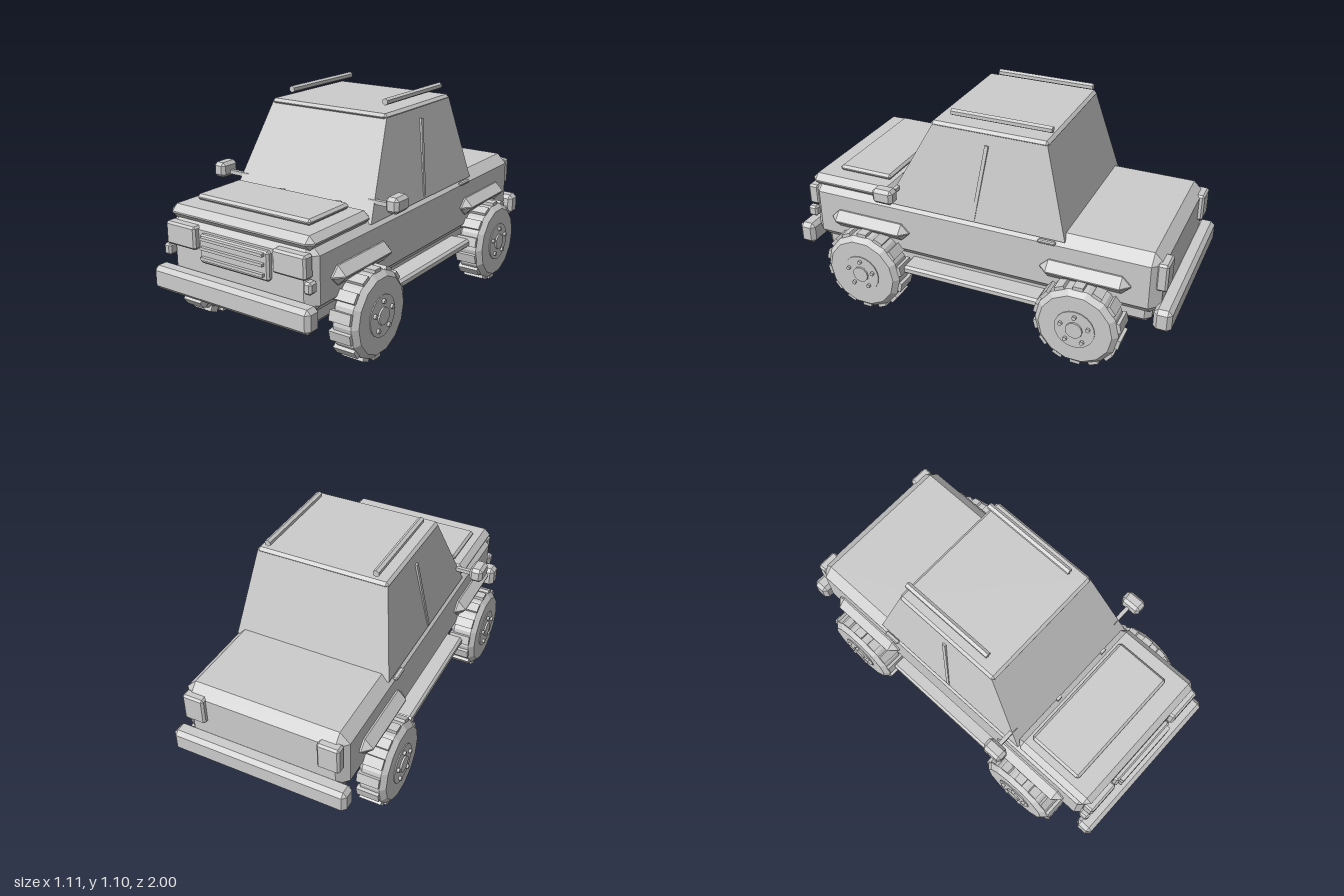
import * as THREE from 'three';
import { ConvexGeometry } from 'three/addons/geometries/ConvexGeometry.js';

const grey = new THREE.MeshStandardMaterial({ color: 0xcccccc });
grey.name = 'plain grey';

export function createModel() {
  const model = new THREE.Group();
  model.name = 'pickupTruck';

  const add = (name, geometry, parent = model) => {
    const mesh = new THREE.Mesh(geometry, grey);
    mesh.name = name;
    parent.add(mesh);
    return mesh;
  };

  // Box given by its extents, with every edge chamfered by b
  const box = (name, [x0, x1], [y0, y1], [z0, z1], b = 0, parent = model) => {
    const half = [(x1 - x0) / 2, (y1 - y0) / 2, (z1 - z0) / 2];
    const centre = [(x0 + x1) / 2, (y0 + y1) / 2, (z0 + z1) / 2];
    let geometry;
    if (b === 0) {
      geometry = new THREE.BoxGeometry(half[0] * 2, half[1] * 2, half[2] * 2);
    } else {
      const points = [];
      for (const sx of [-1, 1]) for (const sy of [-1, 1]) for (const sz of [-1, 1]) {
        for (let outer = 0; outer < 3; outer++) {
          const s = [sx, sy, sz];
          points.push(new THREE.Vector3(...half.map((h, i) => s[i] * (i === outer ? h : h - b))));
        }
      }
      geometry = new ConvexGeometry(points);
    }
    const mesh = add(name, geometry, parent);
    mesh.position.set(...centre);
    return mesh;
  };

  // The same box on both sides of the truck
  const pair = (name, [x0, x1], y, z, b) => {
    box('left' + name, [x0, x1], y, z, b);
    box('right' + name, [-x1, -x0], y, z, b);
  };

  // Body and chassis
  box('body', [-0.42, 0.42], [0.295, 0.62], [-0.93, 0.92], 0.05);
  box('chassis', [-0.37, 0.37], [0.217, 0.36], [-0.885, 0.885], 0.03);
  box('hood', [-0.412, 0.412], [0.59, 0.657], [0.46, 0.92], 0.03);
  box('hoodPanel', [-0.346, 0.315], [0.655, 0.685], [0.505, 0.8], 0.012);
  box('frontBumper', [-0.453, 0.453], [0.255, 0.37], [0.912, 1], 0.02);
  box('rearBumper', [-0.453, 0.453], [0.255, 0.37], [-1, -0.912], 0.02);
  pair('SideStep', [0.36, 0.477], [0.235, 0.28], [-0.37, 0.37], 0.012);
  for (const z of [0.573, -0.573]) {
    pair('WheelFlare', [0.37, 0.47], [0.4, 0.49], [z - 0.222, z + 0.222], 0.042);
  }

  // Cabin tapering towards the roof
  const corners = [];
  for (const s of [-1, 1]) {
    corners.push(
      new THREE.Vector3(s * 0.41, 0.59, 0.475), new THREE.Vector3(s * 0.41, 0.59, -0.466),
      new THREE.Vector3(s * 0.337, 1.03, 0.24), new THREE.Vector3(s * 0.337, 1.03, -0.342));
  }
  add('cabin', new ConvexGeometry(corners));
  box('roof', [-0.34, 0.34], [1.015, 1.045], [-0.348, 0.252], 0.014);

  // Leaning door pillars, handles, mirrors and roof rails
  for (const s of [-1, 1]) {
    const low = new THREE.Vector3(s * 0.405, 0.6, 0.003);
    const high = new THREE.Vector3(s * 0.35, 0.975, -0.048);
    const pillar = add('doorPillar', new THREE.BoxGeometry(0.014, low.distanceTo(high), 0.018));
    pillar.position.copy(low).lerp(high, 0.5);
    pillar.quaternion.setFromUnitVectors(new THREE.Vector3(0, 1, 0), high.clone().sub(low).normalize());

    const rail = new THREE.CylinderGeometry(0.017, 0.017, 0.51, 6).toNonIndexed();
    rail.computeVertexNormals();
    rail.rotateX(Math.PI / 2);
    add('roofRail', rail).position.set(s * 0.278, 1.082, -0.09);
  }
  pair('DoorHandle', [0.41, 0.434], [0.572, 0.588], [-0.425, -0.337], 0.005);
  pair('Mirror', [0.477, 0.547], [0.657, 0.733], [0.365, 0.475], 0.016);
  pair('MirrorArm', [0.36, 0.49], [0.67, 0.69], [0.405, 0.425]);

  // Grille and lights
  box('grille', [-0.2, 0.2], [0.422, 0.56], [0.9, 0.945], 0.01);
  for (const y of [0.546, 0.501, 0.453]) {
    box('grilleSlat', [-0.18, 0.18], [y - 0.007, y + 0.007], [0.94, 0.962]);
  }
  pair('Headlight', [0.223, 0.402], [0.475, 0.585], [0.89, 0.95], 0.01);
  pair('TurnSignal', [0.385, 0.427], [0.415, 0.472], [0.895, 0.947], 0.01);
  pair('TailLight', [0.29, 0.402], [0.44, 0.582], [-0.955, -0.9], 0.01);
  for (const x of [-0.105, 0.225]) {
    box('washerNozzle', [x - 0.015, x + 0.015], [0.65, 0.668], [0.462, 0.476]);
  }

  // Wheel whose axle points outwards along +x from the tyre centre
  const sides = 14;
  const disc = (radius, x0, x1, segments) => {
    const geometry = new THREE.CylinderGeometry(radius, radius, x1 - x0, segments);
    return geometry.rotateZ(-Math.PI / 2).translate((x0 + x1) / 2, 0, 0);
  };
  const profile = [[0, -0.07], [0.182, -0.07], [0.207, -0.05], [0.207, 0.045], [0.182, 0.07], [0, 0.07]];
  const tyre = new THREE.LatheGeometry(profile.map(([r, x]) => new THREE.Vector2(r, x)), sides)
    .rotateZ(-Math.PI / 2).toNonIndexed();
  tyre.computeVertexNormals();

  const makeWheel = (name) => {
    const wheel = new THREE.Group();
    wheel.name = name;
    add('tyre', tyre, wheel);
    for (let i = 0; i < sides; i++) {
      const a = (i / sides) * Math.PI * 2;
      const tread = add('treadBlock', new THREE.BoxGeometry(0.112, 0.03, 0.05), wheel);
      tread.position.set(-0.01, 0.203 * Math.cos(a), 0.203 * Math.sin(a));
      tread.rotation.x = a;
    }
    add('rim', disc(0.1, 0.06, 0.075, 20), wheel);
    add('hubCap', disc(0.042, 0.07, 0.084, 12), wheel);
    for (let i = 0; i < 5; i++) {
      const a = (i / 5) * Math.PI * 2;
      const bolt = add('wheelBolt', disc(0.011, 0.07, 0.088, 6), wheel);
      bolt.position.set(0, 0.072 * Math.cos(a), 0.072 * Math.sin(a));
    }
    return wheel;
  };
  for (const [end, z] of [['front', 0.575], ['rear', -0.573]]) {
    for (const s of [1, -1]) {
      const wheel = makeWheel(end + (s > 0 ? 'Left' : 'Right') + 'Wheel');
      wheel.position.set(s * 0.468, 0.218, z);
      wheel.rotation.y = s > 0 ? 0 : Math.PI;
      model.add(wheel);
    }
  }

  return model;
}
